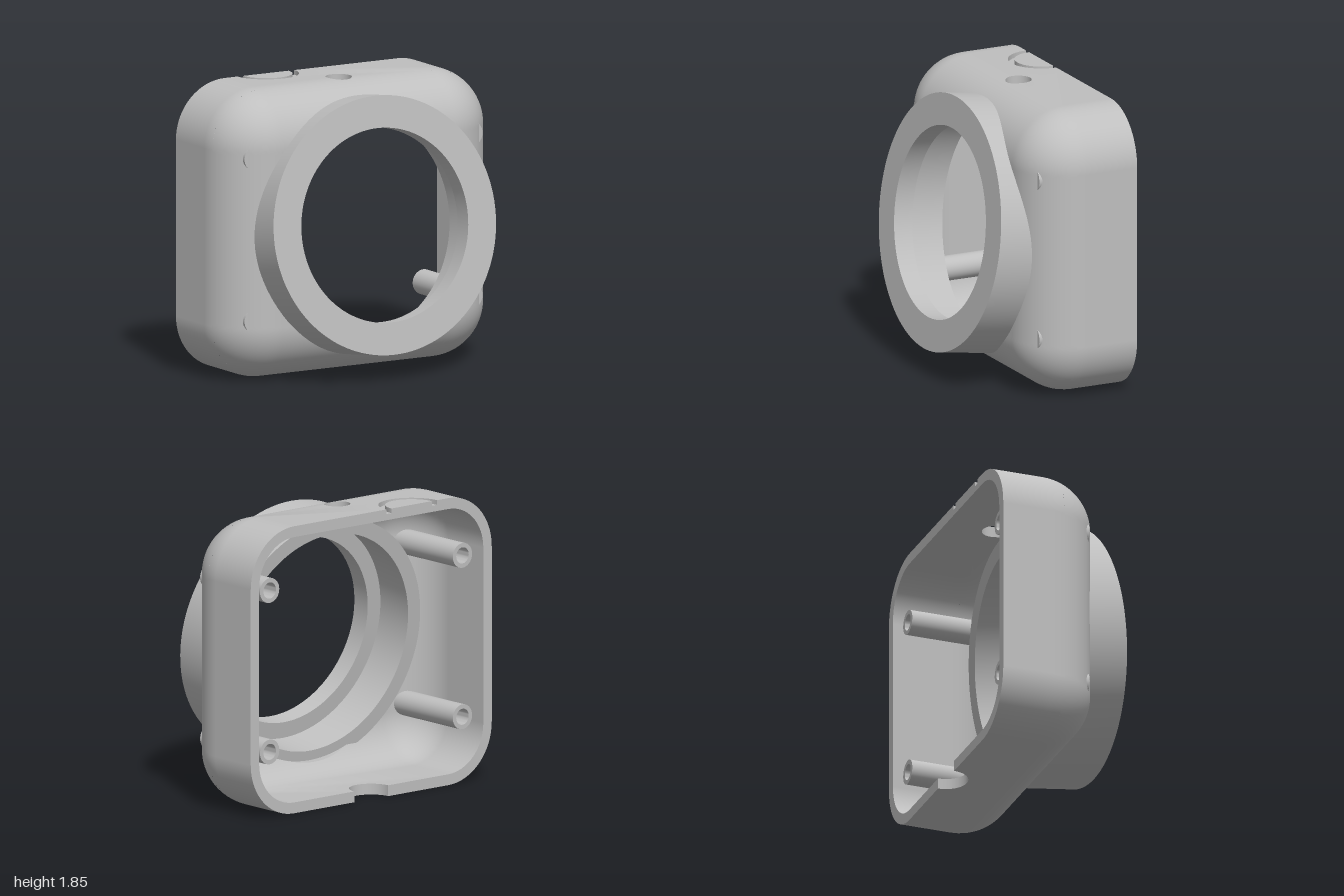
import * as THREE from 'three';
import { toCreasedNormals } from 'three/addons/utils/BufferGeometryUtils.js';

const grey = new THREE.MeshStandardMaterial({ color: 0xbfbfbf });
grey.name = 'plain grey';

// The shell is an inner core box grown by a radius: OUT outside, IN inside.
const OUT = 0.36, IN = 0.29, CX = 0.64, Y0 = 0.36, Y1 = 1.49;
const ZC = -0.16, BACK = -0.5, SEAM = -0.08;
const HOLE_Y = 0.943, HOLE_R = 0.79;

// Sideways reach of the rounded skin at depth z
const reach = (R, z) => Math.sqrt(R * R - Math.max(0, z - ZC) ** 2);
const clamp = THREE.MathUtils.clamp;

// Direction away from the core box
function skinNormal(p) {
  const q = new THREE.Vector3(clamp(p.x, -CX, CX), clamp(p.y, Y0, Y1), clamp(p.z, BACK, ZC));
  return p.clone().sub(q).normalize();
}

// Grid surface from a rule fn(i, j) -> [point, normal]
function surface(nu, nv, fn, flip = false) {
  const pos = [], nor = [], index = [];
  for (let i = 0; i < nu; i++) {
    for (let j = 0; j < nv; j++) {
      const [p, n] = fn(i, j);
      pos.push(p.x, p.y, p.z);
      nor.push(n.x, n.y, n.z);
      if (i === nu - 1 || j === nv - 1) continue;
      const a = i * nv + j, b = a + nv;
      if (flip) index.push(a, b, a + 1, a + 1, b, b + 1);
      else index.push(a, a + 1, b, a + 1, b + 1, b);
    }
  }
  const g = new THREE.BufferGeometry();
  g.setAttribute('position', new THREE.Float32BufferAttribute(pos, 3));
  g.setAttribute('normal', new THREE.Float32BufferAttribute(nor, 3));
  g.setIndex(index);
  return g;
}

// Point on the front skin at a polar position around the opening
const coreDist = (x, y) => Math.hypot(x - clamp(x, -CX, CX), y - clamp(y, Y0, Y1));
function frontPoint(R, a, rad) {
  const x = Math.cos(a) * rad, y = HOLE_Y + Math.sin(a) * rad;
  const d = coreDist(x, y);
  return new THREE.Vector3(x, y, ZC + Math.sqrt(Math.max(0, R * R - d * d)));
}

const TURNS = 240, STEPS = 26;
function frontSkin(R, inside) {
  const limit = reach(R, SEAM);
  return surface(TURNS + 1, STEPS + 1, (i, j) => {
    const a = (i / TURNS) * Math.PI * 2;
    let lo = HOLE_R, hi = 2;
    for (let k = 0; k < 40; k++) {
      const m = (lo + hi) / 2;
      if (coreDist(Math.cos(a) * m, HOLE_Y + Math.sin(a) * m) < limit) lo = m; else hi = m;
    }
    const p = frontPoint(R, a, HOLE_R + (lo - HOLE_R) * Math.sin((j / STEPS) * Math.PI / 2));
    const n = skinNormal(p);
    return [p, inside ? n.negate() : n];
  }, inside);
}

// Side wall with its two rounded corners; s = 1 left, -1 right
const ARC = 16;
function wallPoint(i, s, R, z) {
  const first = i <= ARC;
  const a = Math.PI / 2 - (i - (first ? 0 : 1)) * Math.PI / (2 * ARC) + (s > 0 ? 0 : Math.PI);
  const d = reach(R, z);
  return new THREE.Vector3(s * CX + d * Math.cos(a), (first === s > 0 ? Y1 : Y0) + d * Math.sin(a), z);
}
function sideWall(s, R, inside) {
  const levels = [BACK, ZC, -0.12, SEAM];
  return surface(2 * ARC + 2, levels.length, (i, j) => {
    const p = wallPoint(i, s, R, levels[j]), n = skinNormal(p);
    return [p, inside ? n.negate() : n];
  }, inside);
}

// Top or bottom wall layer between two skin radii, from a plan shape drawn in (x, -z)
function wallLayer(shape, r0, r1, top) {
  let g = new THREE.ExtrudeGeometry(shape, { depth: 1, bevelEnabled: false, curveSegments: 40 });
  g.rotateX(-Math.PI / 2);
  const p = g.attributes.position, n = g.attributes.normal, v = new THREE.Vector3();
  for (let i = 0; i < p.count; i++) {
    v.fromBufferAttribute(p, i);
    const t = v.y;
    v.y = top ? Y1 + reach(r0 + (r1 - r0) * t, v.z) : Y0 - reach(r1 + (r0 - r1) * t, v.z);
    p.setY(i, v.y);
    const facing = n.getY(i);
    if (Math.abs(facing) > 0.5) {
      const m = skinNormal(v);
      if (m.y * facing < 0) m.negate();
      n.setXYZ(i, m.x, m.y, m.z);
    }
  }
  return g;
}

// Plan of a wall, with an optional half-round notch in the back edge
function wallPlan(notchX, notchR) {
  const s = new THREE.Shape().moveTo(-CX, 0.5);
  if (notchR) s.lineTo(notchX - notchR, 0.5).absarc(notchX, 0.5, notchR, Math.PI, Math.PI * 2, false);
  for (const y of [0.5, 0.16, 0.12, 0.08]) s.lineTo(CX, y);
  for (const y of [0.08, 0.12, 0.16]) s.lineTo(-CX, y);
  s.closePath();
  return s;
}
const withButtonHole = (s) => {
  s.holes.push(new THREE.Path().absarc(0, 0.17, 0.083, 0, Math.PI * 2, false));
  return s;
};

const lathe = (pts, seg) =>
  toCreasedNormals(new THREE.LatheGeometry(pts.map(([x, y]) => new THREE.Vector2(x, y)), seg), 0.6);

export function createModel() {
  const model = new THREE.Group();
  model.name = 'cameraHousing';
  const add = (name, geometry, parent = model) => {
    const m = new THREE.Mesh(geometry, grey);
    m.name = name;
    parent.add(m);
    return m;
  };

  // Shell
  const shell = new THREE.Group();
  shell.name = 'shell';
  model.add(shell);
  add('frontOuter', frontSkin(OUT, false), shell);
  add('frontInner', frontSkin(IN, true), shell);
  add('openingEdge', surface(TURNS + 1, 2, (i, j) => {
    const a = (i / TURNS) * Math.PI * 2;
    return [frontPoint(j ? OUT : IN, a, HOLE_R), new THREE.Vector3(-Math.cos(a), -Math.sin(a), 0)];
  }), shell);
  for (const s of [1, -1]) {
    const side = s > 0 ? 'left' : 'right';
    add(side + 'WallOuter', sideWall(s, OUT, false), shell);
    add(side + 'WallInner', sideWall(s, IN, true), shell);
    add(side + 'BackRim', surface(2 * ARC + 2, 2, (i, j) =>
      [wallPoint(i, s, j ? OUT : IN, BACK), new THREE.Vector3(0, 0, -1)]), shell);
  }

  // Top wall: plain lower layer, upper layer with a curved groove around a half disc
  const GX = -0.335, FLOOR = 0.33;
  add('topWallLower', wallLayer(withButtonHole(wallPlan()), IN, FLOOR, true), shell);
  add('topWallUpper', wallLayer(withButtonHole(wallPlan(GX, 0.21)), FLOOR, OUT, true), shell);
  const disc = new THREE.Shape().absarc(GX, 0.5, 0.168, Math.PI, Math.PI * 2, false);
  disc.closePath();
  add('topHalfDisc', wallLayer(disc, FLOOR, OUT, true), shell);

  // Bottom wall with a cable notch
  add('bottomWall', wallLayer(wallPlan(0, 0.14), IN, OUT, false), shell);

  // Tilted front ring with a stepped bore
  const ring = add('frontRing', lathe([
    [0.82, -0.4], [0.82, 0], [0.615, 0], [0.615, -0.13], [0.72, -0.13], [0.72, -0.4], [0.82, -0.4],
  ], 128));
  ring.position.set(0, 0.985, 0.385);
  ring.rotation.x = Math.PI / 2 - 0.14;

  // Four hollow screw posts that just break through the rounded front
  const post = lathe([
    [0, 0.05], [0.052, 0.05], [0.052, -0.45], [0.08, -0.45], [0.08, 0.13], [0, 0.13],
  ], 36);
  for (const x of [-0.8, 0.8]) {
    for (const y of [0.41, 1.45]) {
      const m = add('screwPost', post);
      m.position.set(x, y, 0);
      m.rotation.x = Math.PI / 2;
    }
  }
  return model;
}
